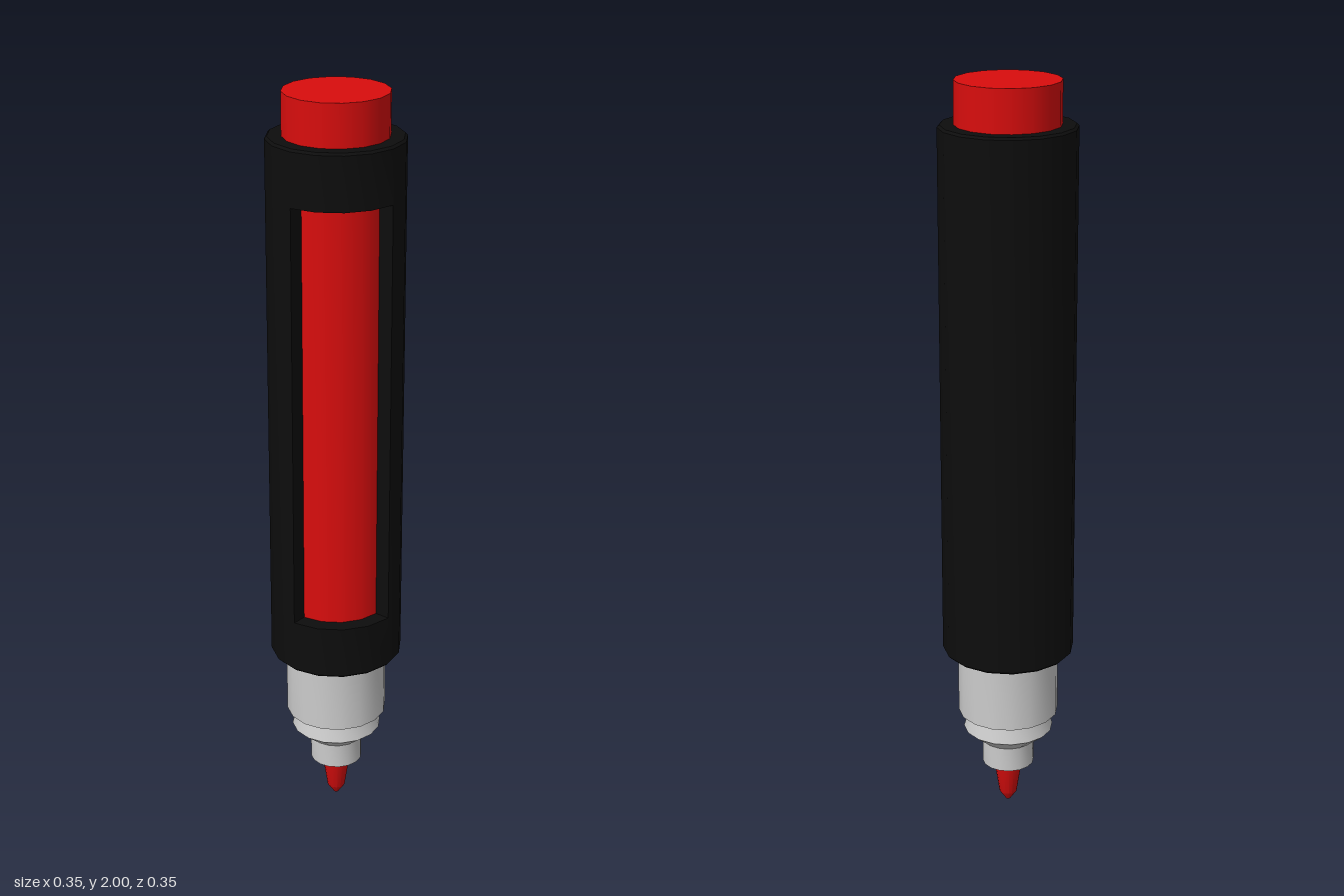
import * as THREE from 'three';
import { mergeGeometries, toCreasedNormals } from 'three/addons/utils/BufferGeometryUtils.js';

const SIDES = 16;
const QUARTER = Math.PI / 2;
const INNER = 0.135, OUTER = 0.176;

const red = new THREE.MeshStandardMaterial({ color: 0xd90d0d });
const black = new THREE.MeshStandardMaterial({ color: 0x0d0d0d });
const grey = new THREE.MeshStandardMaterial({ color: 0xcccccc });

// Revolve [radius, y] pairs, listed from bottom to top along the outside
function lathe(profile, start = 0, sweep = Math.PI * 2) {
  const points = profile.map(([r, y]) => new THREE.Vector2(r, y));
  return new THREE.LatheGeometry(points, Math.round(SIDES * sweep / (Math.PI * 2)), start, sweep);
}

function part(name, geometry, material) {
  const mesh = new THREE.Mesh(toCreasedNormals(geometry, 0.55), material);
  mesh.name = name;
  return mesh;
}

// Closed ring section with optional small bevels on the outer edges
function ringProfile(y0, y1, bevel0, bevel1) {
  return [
    [INNER, y0], [OUTER - bevel0, y0], [OUTER, y0 + bevel0],
    [OUTER, y1 - bevel1], [OUTER - bevel1, y1], [INNER, y1], [INNER, y0],
  ].filter((p, i, all) => i === 0 || p[0] !== all[i - 1][0] || p[1] !== all[i - 1][1]);
}

// Sleeve: full height over three quarters, short bands above and below the window
function sleeveGeometry() {
  const bottom = 0.47, top = 1.89, windowBottom = 0.615, windowTop = 1.745, bevel = 0.006;
  const height = windowTop - windowBottom;
  const midY = (windowTop + windowBottom) / 2, midR = (INNER + OUTER) / 2;
  const wall = () => new THREE.PlaneGeometry(OUTER - INNER, height);
  return mergeGeometries([
    lathe(ringProfile(bottom, top, bevel, bevel), QUARTER, QUARTER * 3),
    lathe(ringProfile(bottom, windowBottom, bevel, 0), 0, QUARTER),
    lathe(ringProfile(windowTop, top, 0, bevel), 0, QUARTER),
    // side walls of the window
    wall().translate(midR, midY, 0),
    wall().rotateY(QUARTER).translate(0, midY, midR),
  ]);
}

export function createModel() {
  const marker = new THREE.Group();
  marker.name = 'marker';

  marker.add(part('barrel', lathe([[0, 0.46], [INNER, 0.46], [INNER, 2], [0, 2]]), red));
  marker.add(part('sleeve', sleeveGeometry(), black));

  // Stepped collar holding the nib
  marker.add(part('collar', lathe([
    [0, 0.125], [0.07, 0.125], [0.07, 0.193], [0.121, 0.234],
    [0.107, 0.285], [INNER, 0.285], [INNER, 0.47],
  ]), grey));

  marker.add(part('nib', lathe([
    [0, 0], [0.006, 0.002], [0.024, 0.028], [0.039, 0.125], [0, 0.13],
  ]), red));

  return marker;
}
